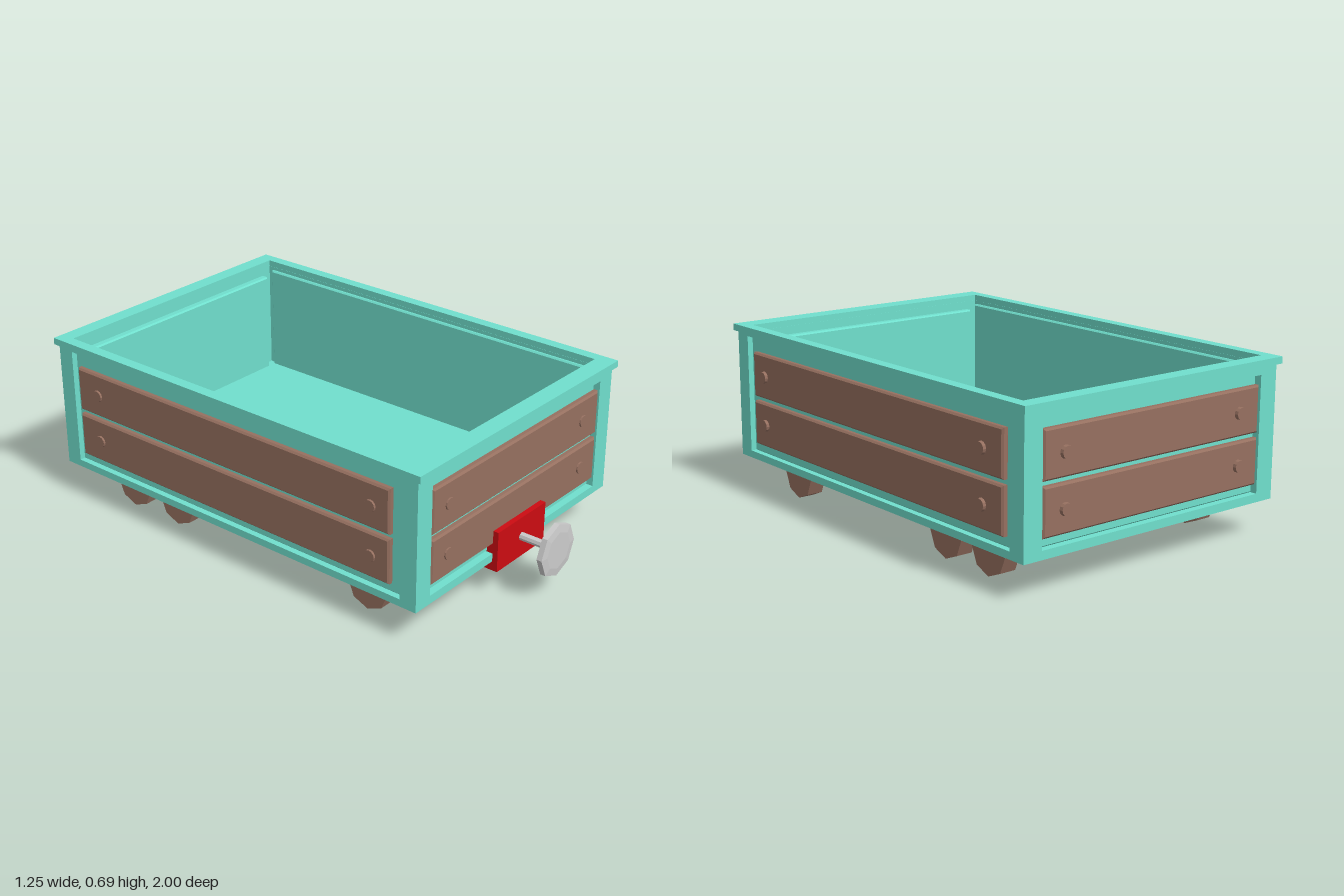
import * as THREE from 'three';

const mat = (color) => new THREE.MeshStandardMaterial({ color, flatShading: true });
const teal = mat(0x70dfcd), brown = mat(0x967060), red = mat(0xcc0c12), grey = mat(0xcccccc);

const CX = -0.006, CZ = -0.084;      // centre of the body
const HW = 0.608, HL = 0.897;        // half width and half length of the body
const Y0 = 0.139, Y1 = 0.66;         // bottom and top of the walls

function add(parent, name, geometry, material, x = 0, y = 0, z = 0) {
  const mesh = new THREE.Mesh(geometry, material);
  mesh.name = name;
  mesh.position.set(x, y, z);
  parent.add(mesh);
  return mesh;
}

function rect(T, x0, y0, x1, y1) {
  const s = new T();
  s.moveTo(x0, y0);
  s.lineTo(x1, y0);
  s.lineTo(x1, y1);
  s.lineTo(x0, y1);
  s.closePath();
  return s;
}

// Rectangular frame, extruded along +z
function frame(outer, inner, depth) {
  const s = rect(THREE.Shape, ...outer);
  s.holes.push(rect(THREE.Path, ...inner));
  return new THREE.ExtrudeGeometry(s, { depth, bevelEnabled: false });
}

// Box with chamfered edges, centred on its origin
function bevelBox(w, h, d, b) {
  const s = rect(THREE.Shape, -w / 2 + b, -h / 2 + b, w / 2 - b, h / 2 - b);
  const g = new THREE.ExtrudeGeometry(s, {
    depth: d - 2 * b, bevelThickness: b, bevelSize: b, bevelSegments: 1,
  });
  return g.translate(0, 0, -d / 2 + b);
}

// One wall facing local +z, whose outer face lies at local z = 0
function wall(o) {
  const g = new THREE.Group();
  g.name = o.name;
  const [h0, h1] = o.holeY;
  add(g, 'wallFrame', frame([-o.half, Y0, o.half, Y1], [-o.hole, h0, o.hole, h1], o.thick),
    teal, 0, 0, -o.thick);
  // Recessed panel that also stands proud of the inside
  const depth = o.inner - o.recess;
  add(g, 'wallPanel', bevelBox(2 * o.hole + 0.002, h1 - h0 + 0.002, depth, 0.006),
    teal, 0, (h0 + h1) / 2, -(o.recess + o.inner) / 2);
  // Two planks with a bolt near each end
  for (const y of [0.299, 0.498]) {
    const d = o.recess + o.plankOut + 0.004;
    add(g, 'plank', bevelBox(2 * o.plank, 0.18, d, 0.007), brown, o.shift, y, o.plankOut - d / 2);
    for (const x of o.bolts) {
      const bolt = new THREE.CylinderGeometry(0.023, 0.026, 0.03, 12).rotateX(Math.PI / 2);
      add(g, 'bolt', bolt, brown, x, y, o.boltOut - 0.015);
    }
  }
  return g;
}

export function createModel() {
  const model = new THREE.Group();
  model.name = 'openWagon';

  // End walls
  const end = {
    half: HW, hole: 0.527, holeY: [0.172, 0.625], thick: 0.06, recess: 0.025, inner: 0.088,
    plank: 0.521, shift: 0, bolts: [-0.427, 0.417], plankOut: 0,
  };
  const front = wall({ ...end, name: 'frontWall', boltOut: 0.006 });
  front.position.set(CX, 0, CZ + HL);
  const back = wall({ ...end, name: 'backWall', thick: 0.047, inner: 0.076, boltOut: 0.014 });
  back.position.set(CX, 0, CZ - HL);
  back.rotation.y = Math.PI;
  model.add(front, back);

  // Side walls
  for (const s of [1, -1]) {
    const side = wall({
      name: s > 0 ? 'leftWall' : 'rightWall',
      half: HL, hole: 0.826, holeY: [0.168, 0.645], thick: 0.035, recess: 0.02, inner: 0.048,
      plank: 0.786, shift: s * 0.007, bolts: [-s * 0.696, s * 0.683],
      plankOut: 0.005, boltOut: s > 0 ? 0.017 : 0.013,
    });
    side.position.set(CX + s * HW, 0, CZ);
    side.rotation.y = s * Math.PI / 2;
    model.add(side);
  }

  // Overhanging rim and floor
  const rim = frame([-0.62, -0.914, 0.62, 0.914], [-0.574, -0.838, 0.574, 0.85], 0.027);
  add(model, 'rim', rim.rotateX(-Math.PI / 2), teal, CX, 0.658, CZ);
  add(model, 'floor', new THREE.BoxGeometry(1.16, 0.06, 1.72), teal, CX, 0.17, CZ);

  // Three pairs of eight-sided wheels
  const wheel = new THREE.CylinderGeometry(0.091, 0.091, 0.068, 8).rotateZ(Math.PI / 2);
  for (const z of [0.527, -0.447, -0.69]) {
    for (const s of [1, -1]) add(model, 'wheel', wheel, brown, CX + s * 0.487, 0.091, z);
  }

  // Coupling block through the front wall, with rod and buffer disc
  add(model, 'couplingBlock', new THREE.BoxGeometry(0.304, 0.165, 0.315), red, -0.005, 0.184, 0.678);
  const rod = new THREE.CylinderGeometry(0.016, 0.016, 0.16, 8).rotateX(Math.PI / 2);
  add(model, 'bufferRod', rod, grey, -0.005, 0.187, 0.9);
  const profile = [[0, 0], [0.107, 0], [0.107, 0.022], [0.075, 0.026], [0, 0.026]]
    .map(([r, h]) => new THREE.Vector2(r, h));
  const disc = new THREE.LatheGeometry(profile, 8).rotateX(Math.PI / 2);
  add(model, 'bufferDisc', disc, grey, -0.005, 0.187, 0.974);

  return model;
}
